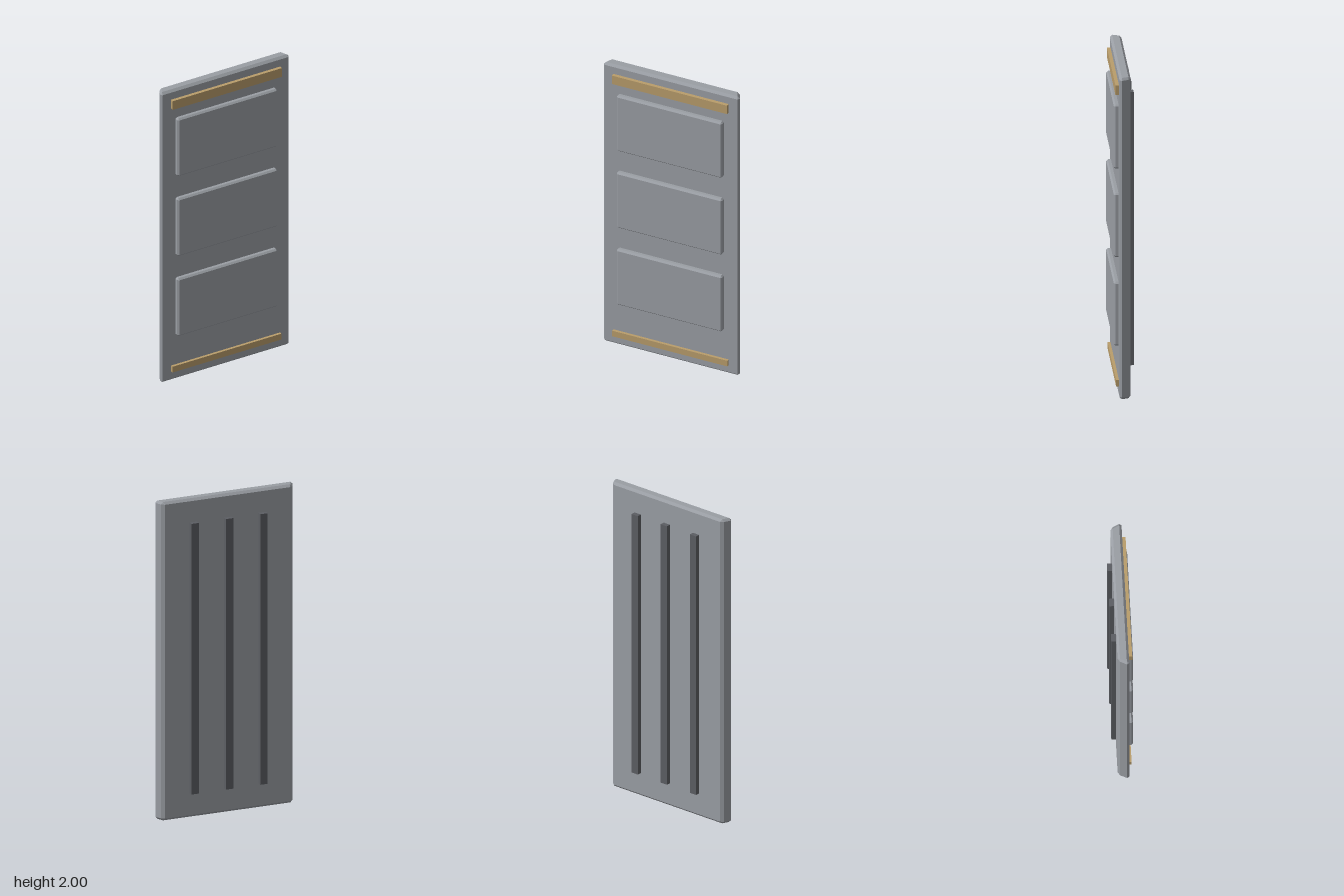
import * as THREE from 'three';
import { ConvexGeometry } from 'three/addons/geometries/ConvexGeometry.js';

const mat = (name, color) => Object.assign(new THREE.MeshStandardMaterial({ color }), { name });

// Box with every edge chamfered by c; taper widens x towards +z.
function chamferedBox(w, h, d, c, taper = 0) {
  const points = [];
  for (const sx of [-1, 1]) for (const sy of [-1, 1]) for (const sz of [-1, 1]) {
    for (let full = 0; full < 3; full++) {
      const inset = (axis) => (axis === full ? 0 : c);
      const z = sz * (d / 2 - inset(2));
      const x = sx * (w / 2 - inset(0)) * (1 + taper * z);
      points.push(new THREE.Vector3(x, sy * (h / 2 - inset(1)), z));
    }
  }
  return new ConvexGeometry(points);
}

export function createModel() {
  const model = new THREE.Group();
  model.name = 'panelledSlab';

  const grey = mat('grey metal', 0x9a9ea4);
  const dark = mat('dark metal', 0x5c5e63);
  const tan = mat('tan trim', 0xb99d6b);

  const add = (name, geometry, material, x, y, z) => {
    const mesh = new THREE.Mesh(geometry, material);
    mesh.name = name;
    mesh.position.set(x, y, z);
    model.add(mesh);
  };

  // Main slab, slightly narrower at the back
  add('slab', chamferedBox(0.87, 2, 0.068, 0.014, 1.1), grey, 0, 1, 0);

  // Raised front panels
  const panel = chamferedBox(0.692, 0.398, 0.04, 0.01);
  [0.504, 1.056, 1.607].forEach((y, i) => add(`frontPanel${i + 1}`, panel, grey, 0, y, 0.042));

  // Trim strips above and below the panels
  add('topTrim', new THREE.BoxGeometry(0.756, 0.06, 0.03), tan, 0, 1.908, 0.04);
  add('bottomTrim', new THREE.BoxGeometry(0.756, 0.04, 0.03), tan, 0, 0.084, 0.036);

  // Vertical ribs on the back
  const rib = new THREE.BoxGeometry(0.048, 1.7, 0.04);
  [-0.223, 0, 0.223].forEach((x, i) => add(`backRib${i + 1}`, rib, dark, x, 1.003, -0.043));

  return model;
}
